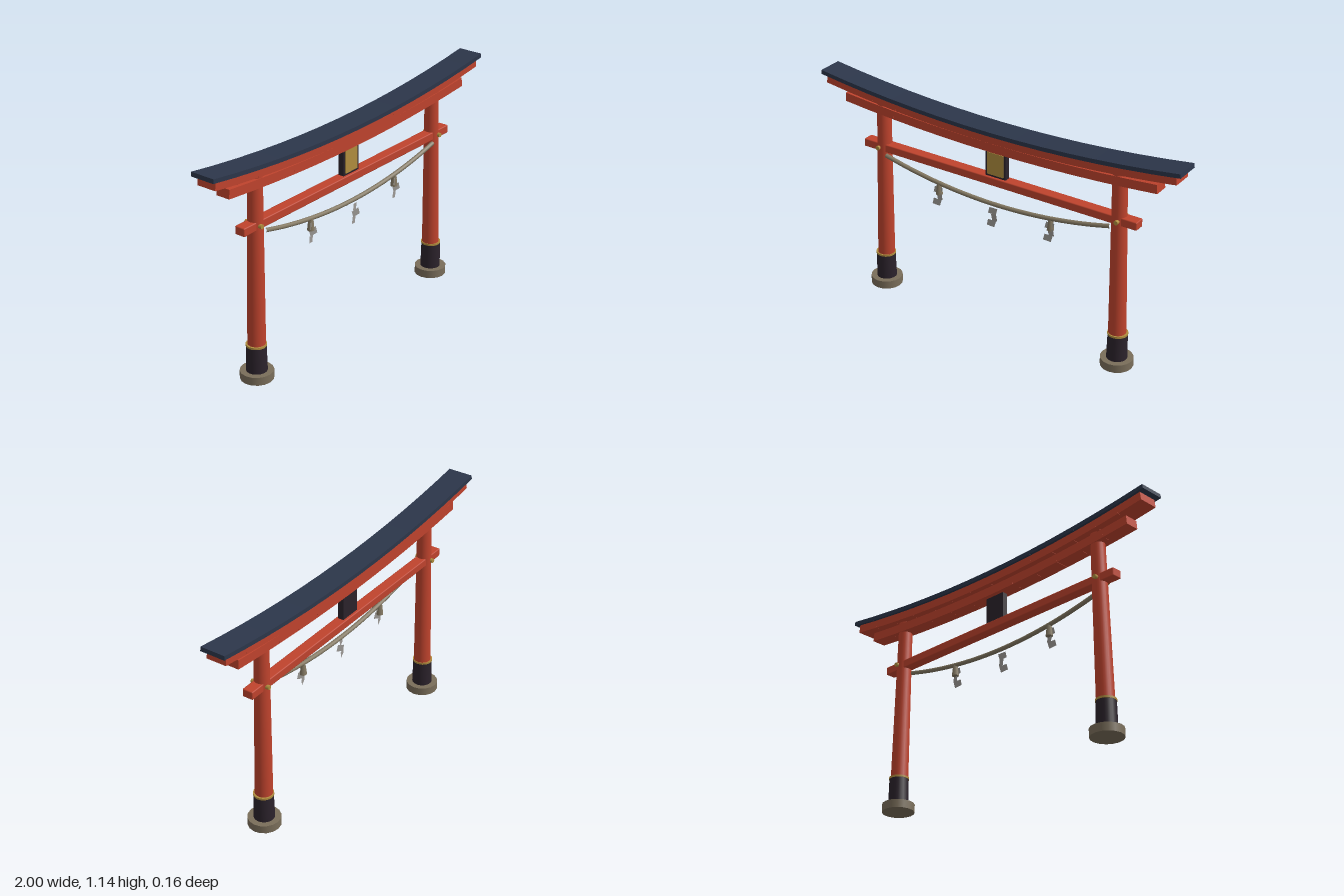
import * as THREE from 'three';
import { RoundedBoxGeometry } from 'three/addons/geometries/RoundedBoxGeometry.js';

const mat = (name, color, opts = {}) => {
  const m = new THREE.MeshStandardMaterial({ color, ...opts });
  m.name = name;
  return m;
};

export function createModel() {
  const red = mat('vermilion', 0xbf432d);
  const slate = mat('roofSlate', 0x2c364a);
  const dark = mat('darkLacquer', 0x2b222b);
  const gold = mat('gold', 0xb08d3e);
  const stone = mat('stone', 0x7a6e5a);
  const straw = mat('straw', 0x857a64);
  const paper = mat('paper', 0x9c9995, { side: THREE.DoubleSide });

  const model = new THREE.Group();
  model.name = 'gate';
  const add = (name, geo, material, x = 0, y = 0, z = 0, parent = model) => {
    const mesh = new THREE.Mesh(geo, material);
    mesh.name = name;
    mesh.position.set(x, y, z);
    parent.add(mesh);
    return mesh;
  };

  // Upswept beam: a row of boxes following a parabola
  function curvedBeam(name, material, halfLength, midY, rise, height, depth, count) {
    const beam = new THREE.Group();
    beam.name = name;
    const curve = x => midY + rise * (x / halfLength) ** 2;
    const step = (2 * halfLength) / count;
    for (let i = 0; i < count; i++) {
      const x0 = -halfLength + i * step, x1 = x0 + step;
      const dy = curve(x1) - curve(x0);
      const geo = new THREE.BoxGeometry(Math.hypot(step, dy), height, depth);
      const block = add(name + 'Block', geo, material, (x0 + x1) / 2, (curve(x0) + curve(x1)) / 2, 0, beam);
      block.rotation.z = Math.atan2(dy, step);
    }
    model.add(beam);
  }
  curvedBeam('roof', slate, 0.998, 1.055, 0.072, 0.021, 0.13, 14);
  curvedBeam('upperBeam', red, 0.973, 1.025, 0.068, 0.044, 0.104, 14);
  curvedBeam('lowerBeam', red, 0.873, 0.971, 0.043, 0.045, 0.074, 12);

  // Straight tie beam through the posts
  add('tieBeam', new RoundedBoxGeometry(1.55, 0.042, 0.056, 1, 0.005), red, 0, 0.788, 0);

  // Leaning posts with footings, sleeves, rings and pegs
  for (const side of [-1, 1]) {
    const post = new THREE.Group();
    post.name = side > 0 ? 'leftPost' : 'rightPost';
    model.add(post);
    const foot = 0.686 * side, lean = -0.022 * side;
    const shaft = new THREE.CylinderGeometry(0.035, 0.045, 0.99, 24);
    shaft.translate(0, 0.495, 0);
    const p = shaft.attributes.position;
    for (let i = 0; i < p.count; i++) p.setX(i, p.getX(i) + lean * p.getY(i) / 0.99);
    add('shaft', shaft, red, foot, 0.04, 0, post);
    add('footing', new THREE.CylinderGeometry(0.081, 0.081, 0.042, 16), stone, foot, 0.021, 0, post);
    add('sleeve', new THREE.CylinderGeometry(0.048, 0.051, 0.132, 24), dark, foot, 0.108, 0, post);
    add('ring', new THREE.CylinderGeometry(0.05, 0.05, 0.01, 24), gold, foot, 0.177, 0, post);
    const peg = add('peg', new THREE.CylinderGeometry(0.011, 0.011, 0.1, 12), gold, 0.678 * side, 0.789, 0, post);
    peg.rotation.x = Math.PI / 2;
  }

  // Central tablet between the beams
  add('tabletFrame', new THREE.BoxGeometry(0.114, 0.14, 0.03), dark, 0, 0.878, 0);
  add('tabletPanel', new THREE.BoxGeometry(0.09, 0.116, 0.006), gold, 0, 0.878, 0.016);

  // Sagging rope
  const ropeY = x => 0.673 + 0.08 * (x / 0.64) ** 2;
  const points = [];
  for (let i = -6; i <= 6; i++) {
    const x = i * 0.64 / 6;
    points.push(new THREE.Vector3(x, ropeY(x), 0.03));
  }
  add('rope', new THREE.TubeGeometry(new THREE.CatmullRomCurve3(points), 40, 0.011, 8), straw);

  // Zigzag paper streamers, with straw tassels on the outer two
  const leaf = new THREE.Shape([[-0.017, 0.02], [0.023, 0.013], [0.014, -0.021], [-0.024, -0.012]]
    .map(([x, y]) => new THREE.Vector2(x, y)));
  for (const x of [-0.32, 0, 0.32]) {
    const y = ropeY(x) - 0.01;
    for (let i = 0; i < 3; i++) {
      const piece = add('streamer', new THREE.ShapeGeometry(leaf), paper,
        x + [0, 0.008, -0.008][i], y - 0.024 - i * 0.034, 0.038);
      piece.rotation.set(0, i % 2 ? -0.3 : 0.3, i % 2 ? 0.5 : 0);
    }
    if (x) add('tassel', new THREE.CylinderGeometry(0.011, 0.018, 0.06, 8), straw, x, y - 0.02, 0.03);
  }
  return model;
}
